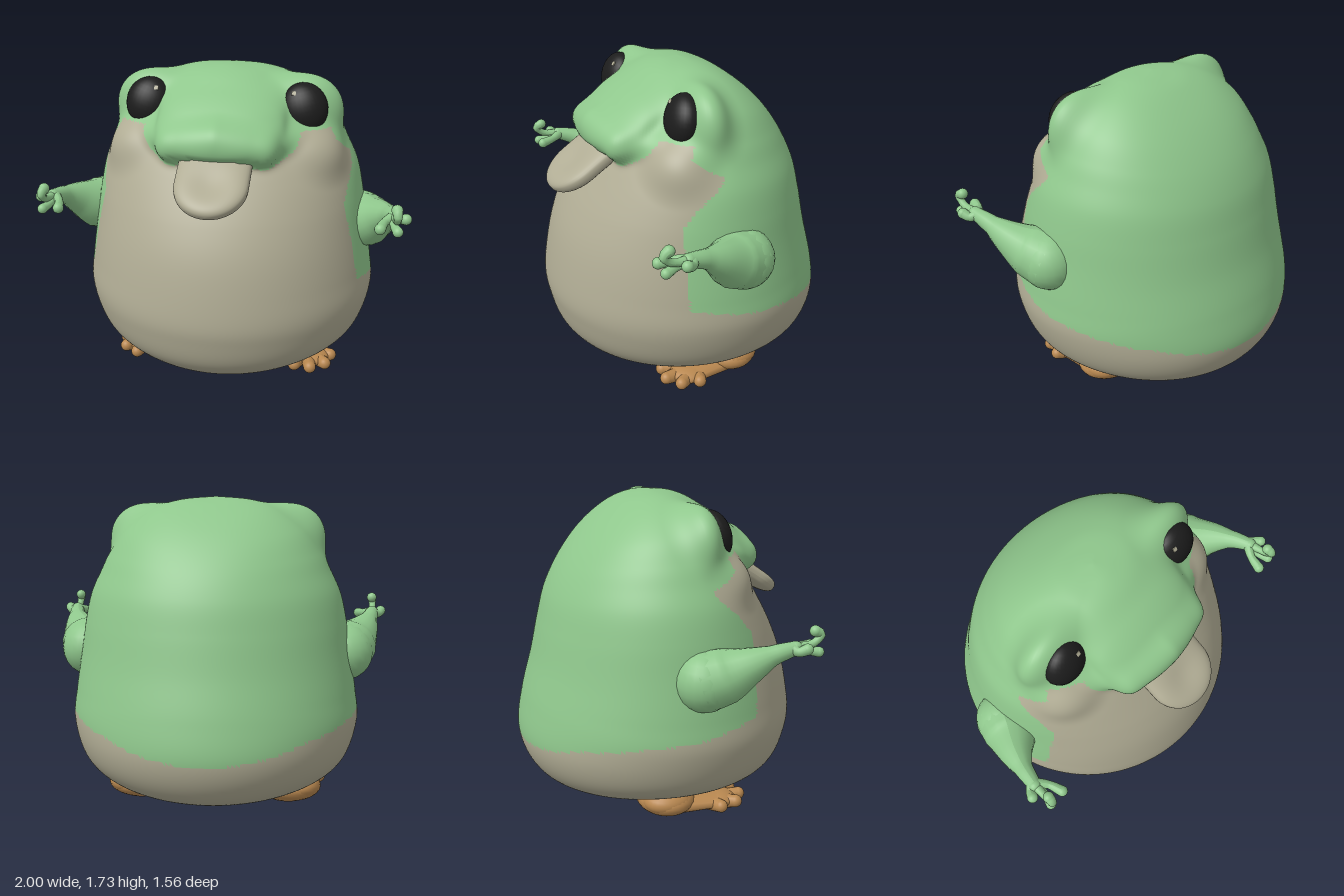
import * as THREE from 'three';
import { mergeVertices } from 'three/addons/utils/BufferGeometryUtils.js';

const V = (x, y, z) => new THREE.Vector3(x, y, z);
const mat = (name, color) => {
  const m = new THREE.MeshStandardMaterial({ color });
  m.name = name;
  return m;
};

// ---- distance helpers used to sculpt the body ----
const smin = (a, b, k) => {
  const h = Math.max(k - Math.abs(a - b), 0) / k;
  return Math.min(a, b) - h * h * k * 0.25;
};
// ellipsoid with centre c, radii r, tipped forward and down by pitch
function ellipsoid(p, c, r, pitch = 0) {
  const cs = Math.cos(pitch), sn = Math.sin(pitch);
  const x = p.x - c[0], y0 = p.y - c[1], z0 = p.z - c[2];
  const z = z0 * cs - y0 * sn, y = z0 * sn + y0 * cs;
  const k0 = Math.hypot(x / r[0], y / r[1], z / r[2]);
  const k1 = Math.hypot(x / r[0] ** 2, y / r[1] ** 2, z / r[2] ** 2);
  return k1 < 1e-6 ? -Math.min(...r) : (k0 * (k0 - 1)) / k1;
}
function capsule(p, a, b, r) {
  const ab = b.clone().sub(a);
  const t = THREE.MathUtils.clamp(p.clone().sub(a).dot(ab) / ab.lengthSq(), 0, 1);
  return p.distanceTo(a.clone().addScaledVector(ab, t)) - r;
}

// ---- body outlines as [distance from axis, height], seen from a centre at CY ----
const CY = 1.0;
function polarProfile(points) {
  const pts = new THREE.SplineCurve(points.map(([h, y]) => new THREE.Vector2(h, y - CY))).getPoints(400);
  const N = 720, table = [];
  const ang = (q) => Math.atan2(q.y, Math.max(q.x, 0));
  for (let i = 0, j = 0; i <= N; i++) {
    const a = -Math.PI / 2 + (Math.PI * i) / N;
    while (j < pts.length - 2 && ang(pts[j + 1]) < a) j++;
    const a0 = ang(pts[j]), a1 = ang(pts[j + 1]);
    const t = THREE.MathUtils.clamp((a - a0) / (a1 - a0 || 1), 0, 1);
    table.push(THREE.MathUtils.lerp(pts[j].length(), pts[j + 1].length(), t));
  }
  return (a) => {
    const f = ((a + Math.PI / 2) / Math.PI) * N, i = Math.min(Math.floor(f), N - 1);
    return THREE.MathUtils.lerp(table[i], table[i + 1], f - i);
  };
}
const sideR = polarProfile([[0, .08], [.4, .105], [.62, .17], [.75, .28], [.813, .48], [.8, .65], [.765, .88],
  [.74, 1.05], [.705, 1.2], [.65, 1.32], [.6, 1.42], [.51, 1.55], [.36, 1.66], [.2, 1.712], [0, 1.73]]);
const frontR = polarProfile([[0, .08], [.4, .09], [.6, .14], [.72, .25], [.77, .4], [.78, .54], [.73, .8],
  [.65, 1.0], [.53, 1.2], [.46, 1.3], [.38, 1.42], [.29, 1.56], [.2, 1.67], [.1, 1.72], [0, 1.73]]);
const backR = polarProfile([[0, .08], [.4, .09], [.62, .14], [.73, .24], [.78, .4], [.75, .6], [.69, .82],
  [.645, 1.02], [.595, 1.2], [.505, 1.37], [.37, 1.53], [.2, 1.665], [.08, 1.715], [0, 1.73]]);

function trunk(p) {
  const y = p.y - CY, h = Math.hypot(p.x, p.z), a = Math.atan2(y, h), az = Math.atan2(p.x, p.z);
  const rz = p.z > 0 ? frontR(a) : backR(a);
  return Math.hypot(h, y) - 1 / Math.hypot(Math.sin(az) / sideR(a), Math.cos(az) / rz);
}
// snout with a drooping upper lip
const LIP = [V(0, 1.42, .485), V(.24, 1.367, .45), V(.37, 1.385, .27)];
function snout(p) {
  const lip = smin(capsule(p, LIP[0], LIP[1], .068), capsule(p, LIP[1], LIP[2], .055), .04);
  return smin(lip, ellipsoid(p, [0, 1.5, .3], [.33, .105, .29], .6), .09);
}
function bodyField(p) {
  const q = V(Math.abs(p.x), p.y, p.z);
  let f = smin(trunk(q), ellipsoid(q, [.42, 1.51, .085], [.195, .18, .105]), .1); // eye mound
  f = smin(f, ellipsoid(q, [.46, 1.29, .21], [.15, .13, .14]), .1); // cheek
  return smin(f, snout(q), .05);
}

// ---- where the back colour ends ----
const sample = (table, v) => {
  if (v <= table[0][0]) return table[0][1];
  for (let i = 1; i < table.length; i++) {
    const [a, b] = [table[i - 1], table[i]];
    if (v <= b[0]) return b[1] + ((a[1] - b[1]) * (b[0] - v)) / (b[0] - a[0]);
  }
  return table[table.length - 1][1];
};
const LOWER = [[-.78, .39], [-.6, .48], [-.3, .54], [0, .57], [.3, .63]]; // z -> y
const FRONT = [[1.05, .3], [1.15, .22], [1.25, .1], [1.29, .07], [1.33, .16], [1.38, .22], [1.44, .19]]; // y -> z
function isGreen(p) {
  const q = V(Math.abs(p.x), p.y, p.z);
  if (snout(q) < .018 || p.y > 1.44) return true;
  return p.y > sample(LOWER, p.z) && p.z < sample(FRONT, p.y);
}

function bodyGeometry() {
  let g = new THREE.SphereGeometry(1, 220, 170);
  g.deleteAttribute('uv');
  g.deleteAttribute('normal');
  g = mergeVertices(g);
  const pos = g.attributes.position, d = V(), c = V(0, CY, 0), p = V();
  const at = (r) => bodyField(p.copy(c).addScaledVector(d, r));
  for (let i = 0; i < pos.count; i++) {
    d.fromBufferAttribute(pos, i).normalize();
    let hi = 1.2;
    while (hi > .3 && at(hi - .025) > 0) hi -= .025;
    let lo = hi - .025;
    for (let n = 0; n < 10; n++) {
      const m = (lo + hi) / 2;
      if (at(m) > 0) hi = m; else lo = m;
    }
    p.copy(c).addScaledVector(d, lo);
    pos.setXYZ(i, p.x, p.y, p.z);
  }
  // sort faces into back and belly
  const green = [], pale = [], idx = g.index.array, v = V();
  for (let i = 0; i < idx.length; i += 3) {
    p.set(0, 0, 0);
    for (let k = 0; k < 3; k++) p.add(v.fromBufferAttribute(pos, idx[i + k]));
    (isGreen(p.divideScalar(3)) ? green : pale).push(idx[i], idx[i + 1], idx[i + 2]);
  }
  g.setIndex([...green, ...pale]);
  g.addGroup(0, green.length, 0);
  g.addGroup(green.length, pale.length, 1);
  g.computeVertexNormals();
  return g;
}

function ball(name, material, c, r, segments = 32) {
  const m = new THREE.Mesh(new THREE.SphereGeometry(1, segments, segments / 2), material);
  m.name = name;
  m.position.set(...c);
  m.scale.set(...r);
  return m;
}
// tapered round limb through points [x, y, z, radius], with ball ends
function limb(name, material, pts, s) {
  const group = new THREE.Group(), n = 20, sides = 16;
  group.name = name;
  const curve = new THREE.CatmullRomCurve3(pts.map((q) => V(q[0] * s, q[1], q[2])));
  const radii = pts.map((q, k) => [k / (pts.length - 1), q[3]]);
  const g = new THREE.TubeGeometry(curve, n, 1, sides), pos = g.attributes.position, v = V();
  for (let i = 0; i < pos.count; i++) {
    const u = Math.floor(i / (sides + 1)) / n, c = curve.getPointAt(u);
    v.fromBufferAttribute(pos, i).sub(c).multiplyScalar(sample(radii, u)).add(c);
    pos.setXYZ(i, v.x, v.y, v.z);
  }
  g.computeVertexNormals();
  group.add(new THREE.Mesh(g, material));
  for (const q of [pts[0], pts[pts.length - 1]])
    group.add(ball(name + 'End', material, [q[0] * s, q[1], q[2]], [q[3], q[3], q[3]], sides * 1.5));
  return group;
}

export function createModel() {
  const green = mat('skinGreen', 0x8fc78c), pale = mat('bellyBeige', 0xb0ac94);
  const orange = mat('footOrange', 0xb98850), black = mat('eyeBlack', 0x1c1c1c);
  const model = new THREE.Group();
  model.name = 'frog';
  const body = new THREE.Mesh(bodyGeometry(), [green, pale]);
  body.name = 'body';
  model.add(body);

  // tongue: flattened capsule with blunt rim and a shallow dent
  const tg = new THREE.CapsuleGeometry(.19, .2, 16, 40, 12), tp = tg.attributes.position;
  for (let i = 0; i < tp.count; i++) {
    const x = tp.getX(i), y = tp.getY(i), z = tp.getZ(i);
    const flat = Math.sign(z) * .062 * Math.pow(Math.abs(z) / .19, .7);
    tp.setZ(i, z > 0 ? flat - .025 * Math.exp(-(x * x + (y + .12) ** 2) / .012) * (z / .19) : flat);
  }
  tg.computeVertexNormals();
  const tongue = new THREE.Mesh(tg, pale);
  tongue.name = 'tongue';
  tongue.position.set(0, 1.272, .515);
  tongue.rotation.x = -.99;
  model.add(tongue);

  for (const s of [1, -1]) {
    const side = s > 0 ? 'left' : 'right';
    // eye with a small glint
    const eye = ball(side + 'Eye', black, [.415 * s, 1.532, .183], [.125, .134, .085]);
    eye.rotation.set(-.25, 0, .3 * s);
    const glint = new THREE.Mesh(new THREE.BoxGeometry(.022, .022, .006), pale);
    glint.name = side + 'EyeGlint';
    glint.position.set(-.22 * s, .63, .745).multiply(eye.scale).applyEuler(eye.rotation).add(eye.position);
    glint.rotation.x = -.6;
    model.add(eye, glint);

    // arm and fingers
    model.add(limb(side + 'Arm', green, [[.735, .86, -.005, .16], [.79, .9, .1, .142], [.85, .96, .2, .095],
      [.89, 1.01, .3, .052], [.915, 1.04, .4, .036]], s));
    [[[.915, 1.04, .38, .03], [.95, 1.03, .4, .024], [.97, 1.045, .435, .029]],
      [[.91, 1.04, .39, .03], [.865, 1.03, .45, .022], [.842, 1.02, .525, .029]],
      [[.915, 1.04, .4, .028], [.925, 1.06, .5, .02], [.925, 1.1, .535, .02], [.92, 1.118, .505, .029]],
      [[.915, 1.035, .4, .028], [.91, 1.02, .46, .02], [.93, 1.01, .525, .027]],
    ].forEach((f, i) => model.add(limb(side + 'Finger' + (i + 1), green, f, s)));

    // foot: heel, ankle, flattened sole and toes
    model.add(ball(side + 'Heel', orange, [.43 * s, .095, -.09], [.185, .087, .16]));
    model.add(ball(side + 'Ankle', orange, [.49 * s, .105, -.1], [.12, .075, .14]));
    const sole = limb(side + 'Sole', orange, [[.42, 0, -.08, .15], [.46, 0, .06, .13], [.5, 0, .19, .105]], s);
    sole.scale.y = .41;
    sole.position.y = .066;
    model.add(sole);
    [[.61, .17], [.585, .27], [.505, .325], [.415, .31]].forEach(([x, z], i) =>
      model.add(limb(side + 'Toe' + (i + 1), orange, [[.47, .06, .1, .05], [(x + .47) / 2, .055, (z + .12) / 2, .042],
        [x, .065, z, .035]], s)));
  }
  return model;
}
